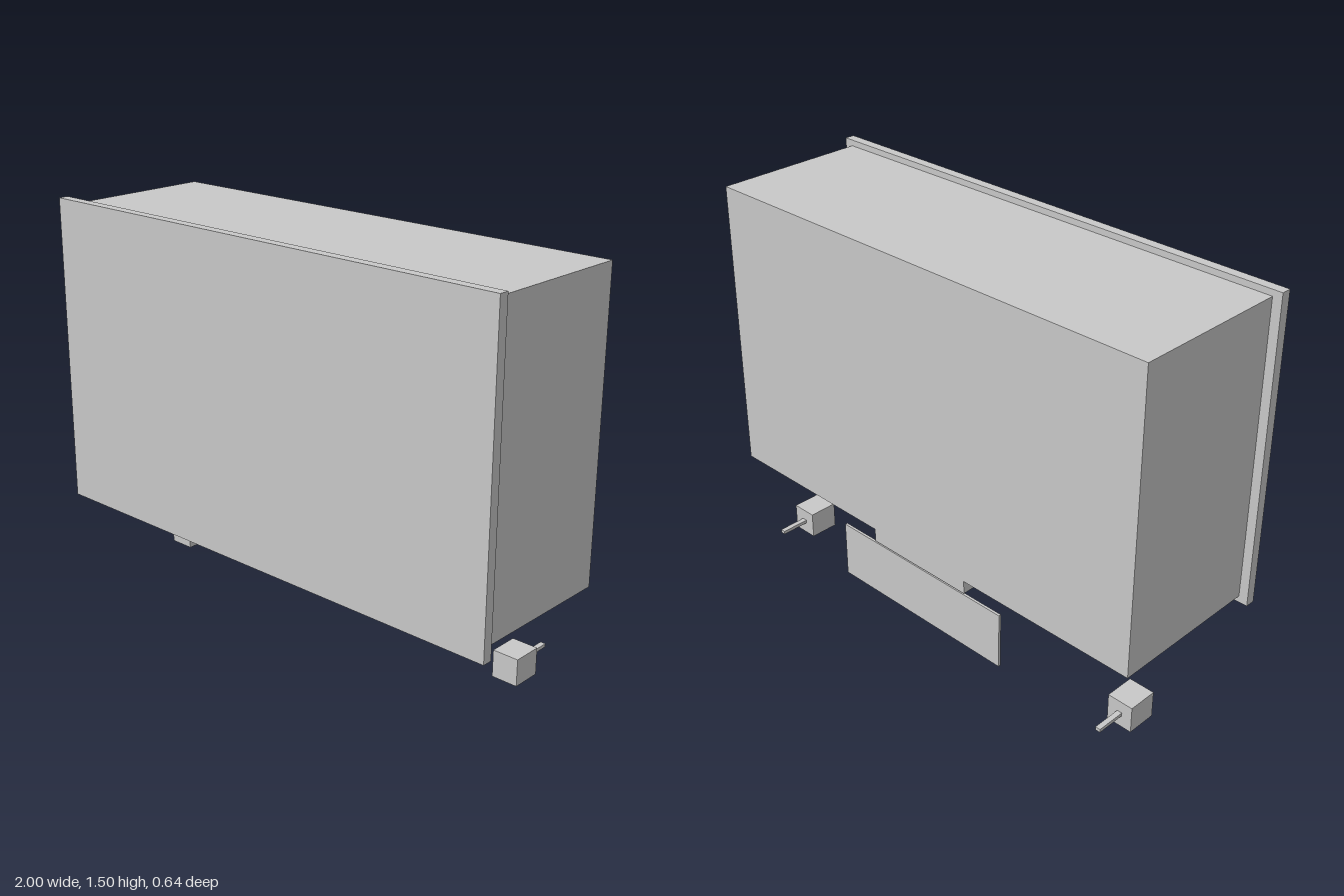
import * as THREE from 'three';

export function createModel() {
  const model = new THREE.Group();
  const grey = new THREE.MeshStandardMaterial({ color: 0xc8c8c8 });
  grey.name = 'lightGrey';

  // Adds a box given its limits on each axis
  function box(name, [x0, x1], [y0, y1], [z0, z1], parent = model) {
    const mesh = new THREE.Mesh(new THREE.BoxGeometry(x1 - x0, y1 - y0, z1 - z0), grey);
    mesh.position.set((x0 + x1) / 2, (y0 + y1) / 2, (z0 + z1) / 2);
    mesh.name = name;
    parent.add(mesh);
  }

  // Main cabinet and the wider front panel
  box('cabinet', [-0.965, 0.965], [0.337, 1.472], [-0.32, 0.282]);
  box('frontPanel', [-1, 1], [0.312, 1.495], [0.282, 0.32]);

  // Central mount under the cabinet, its base plate and hanging plates
  box('mount', [-0.23, 0.23], [0.285, 0.337], [-0.32, -0.042]);
  box('mountPlate', [-0.2, 0.2], [0.279, 0.284], [-0.305, -0.064]);
  box('hangingPlate', [-0.282, 0.282], [0.21, 0.337], [-0.042, -0.022]);
  box('rearPlate', [-0.4, 0.4], [0.056, 0.279], [-0.32, -0.31]);

  // Square frame outline for the underside tiles
  const w = 0.168, d = 0.132, rim = 0.014;
  const rect = (Type, hw, hd) => {
    const s = new Type();
    s.moveTo(-hw, -hd);
    s.lineTo(hw, -hd);
    s.lineTo(hw, hd);
    s.lineTo(-hw, hd);
    s.closePath();
    return s;
  };
  const outline = rect(THREE.Shape, w / 2, d / 2);
  outline.holes.push(rect(THREE.Path, w / 2 - rim, d / 2 - rim));
  const frameGeometry = new THREE.ExtrudeGeometry(outline, { depth: 0.012, bevelEnabled: false });
  frameGeometry.rotateX(-Math.PI / 2);

  // Three rows of framed tiles on the underside
  const tiles = new THREE.Group();
  tiles.name = 'undersideTiles';
  for (const z of [0.175, 0.004, -0.168]) {
    for (let i = -4; i <= 4; i++) {
      const x = i * 0.19;
      const frame = new THREE.Mesh(frameGeometry, grey);
      frame.name = 'tileFrame';
      frame.position.set(x, 0.319, z);
      tiles.add(frame);
      const hw = w / 2 - rim, hd = d / 2 - rim;
      box('tilePanel', [x - hw, x + hw], [0.325, 0.331], [z - hd, z + hd], tiles);
    }
  }
  model.add(tiles);

  // Two separate cubes, each with a thin pin at the back
  for (const x of [-0.856, 0.795]) {
    const unit = new THREE.Group();
    unit.name = 'pinnedCube';
    box('cube', [x - 0.051, x + 0.051], [0, 0.103], [-0.207, -0.092], unit);
    box('pin', [x - 0.01, x + 0.01], [0.046, 0.059], [-0.32, -0.207], unit);
    model.add(unit);
  }

  return model;
}
